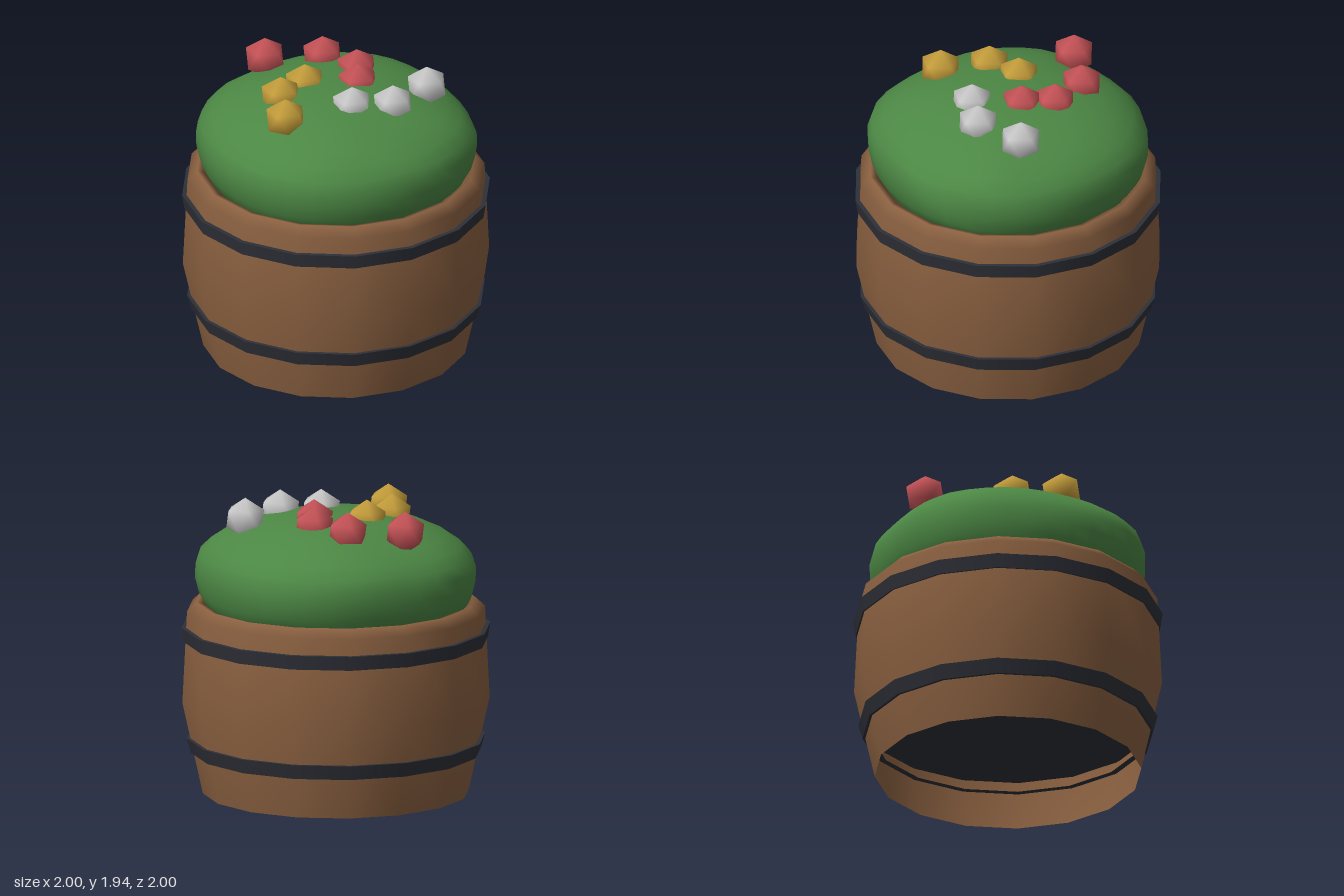
import * as THREE from 'three';
import { mergeVertices } from 'three/addons/utils/BufferGeometryUtils.js';

const SIDES = 16;
const mat = (color, side = THREE.FrontSide) => new THREE.MeshStandardMaterial({ color, side });
const wood = mat(0x8a6040, THREE.DoubleSide);
const iron = mat(0x2e3038, THREE.DoubleSide);
const leaf = mat(0x4c8744);

function add(group, name, geometry, material) {
  const mesh = new THREE.Mesh(geometry, material);
  mesh.name = name;
  group.add(mesh);
  return mesh;
}

// surface of revolution from [radius, height] pairs, listed upwards on the outside
function turned(points, sides) {
  return new THREE.LatheGeometry(points.map(([r, y]) => new THREE.Vector2(r, y)), sides);
}

// shared vertices give smooth normals without a seam
function smooth(geometry) {
  geometry.deleteAttribute('uv');
  geometry.deleteAttribute('normal');
  const merged = mergeVertices(geometry, 1e-4);
  merged.computeVertexNormals();
  return merged;
}

// tapered band with a flat upper and lower edge
function hoop(r0, y0, r1, y1) {
  const t = 0.06;
  const p = [[r0 - t, y0], [r0, y0], [r0, y0], [r1, y1], [r1, y1], [r1 - t, y1]];
  return turned(p, SIDES);
}

// domed, slightly squarish and lumpy foliage
function bushGeometry() {
  const profile = [
    [0.6, 1.08], [0.76, 1.15], [0.83, 1.22], [0.87, 1.3], [0.89, 1.39], [0.89, 1.48], [0.865, 1.56],
    [0.8, 1.63], [0.71, 1.695], [0.59, 1.75], [0.45, 1.795], [0.3, 1.82], [0.15, 1.833], [0, 1.837],
  ];
  const g = turned(profile, 36);
  const p = g.attributes.position;
  for (let i = 0; i < p.count; i++) {
    const x = p.getX(i), y = p.getY(i), z = p.getZ(i);
    const r = Math.hypot(x, z);
    const lump = Math.sin(5 * x + 4 * y + 1) * Math.sin(6 * z - 3 * y) + 0.6 * Math.sin(9 * x - 7 * z + 8 * y);
    const square = Math.cos(4 * Math.atan2(z, x));
    const k = 1 + r * r * (0.013 * lump - 0.022 * square);
    p.setXYZ(i, x * k, y + 0.009 * lump * r, z * k);
  }
  return smooth(g);
}

// twenty-sided bloom standing on one point
function bloomGeometry(r) {
  const v = [0, r, 0];
  const h = r / Math.sqrt(5);
  for (let ring = 0; ring < 2; ring++) {
    for (let i = 0; i < 5; i++) {
      const a = (i + ring / 2) * Math.PI * 0.4;
      v.push(2 * h * Math.cos(a), ring ? -h : h, -2 * h * Math.sin(a));
    }
  }
  v.push(0, -r, 0);
  const f = [];
  for (let i = 0; i < 5; i++) {
    const u = 1 + i, un = 1 + (i + 1) % 5, l = 6 + i, ln = 6 + (i + 1) % 5;
    f.push(0, u, un, u, l, un, un, l, ln, l, 11, ln);
  }
  const g = new THREE.BufferGeometry();
  g.setAttribute('position', new THREE.Float32BufferAttribute(v, 3));
  g.setIndex(f);
  g.computeVertexNormals();
  return g;
}

export function createModel() {
  const model = new THREE.Group();
  model.name = 'flowerBarrel';

  // barrel, open below, with a bevelled rim turning inwards
  const staves = [[0.862, 0], [0.995, 0.6], [0.965, 1.2], [0.9, 1.26], [0.86, 1.25], [0.84, 1.1]];
  add(model, 'barrel', turned(staves, SIDES), wood);

  // hoops and the dark floor inside
  add(model, 'lowerHoop', hoop(0.94, 0.27, 0.967, 0.365), iron);
  add(model, 'upperHoop', hoop(0.985, 1.0, 1.0, 1.093), iron);
  const floor = add(model, 'floor', new THREE.CircleGeometry(0.93, SIDES), iron);
  floor.rotation.x = Math.PI / 2;
  floor.position.y = 0.355;

  add(model, 'bush', bushGeometry(), leaf);

  // blooms by colour, each at [x, z]
  const bloom = bloomGeometry(0.137);
  const beds = [
    ['redFlower', 0xc85458, [[-0.175, -0.62], [0.16, -0.46], [0.26, -0.19], [0.16, 0]]],
    ['yellowFlower', 0xc8a03c, [[-0.135, -0.17], [-0.36, -0.09], [-0.49, 0.2]]],
    ['whiteFlower', 0xcccccc, [[-0.03, 0.26], [0.21, 0.37], [0.53, 0.25]]],
  ];
  for (const [name, color, spots] of beds) {
    const material = mat(color);
    for (const [x, z] of spots) add(model, name, bloom, material).position.set(x, 1.8, z);
  }
  return model;
}
